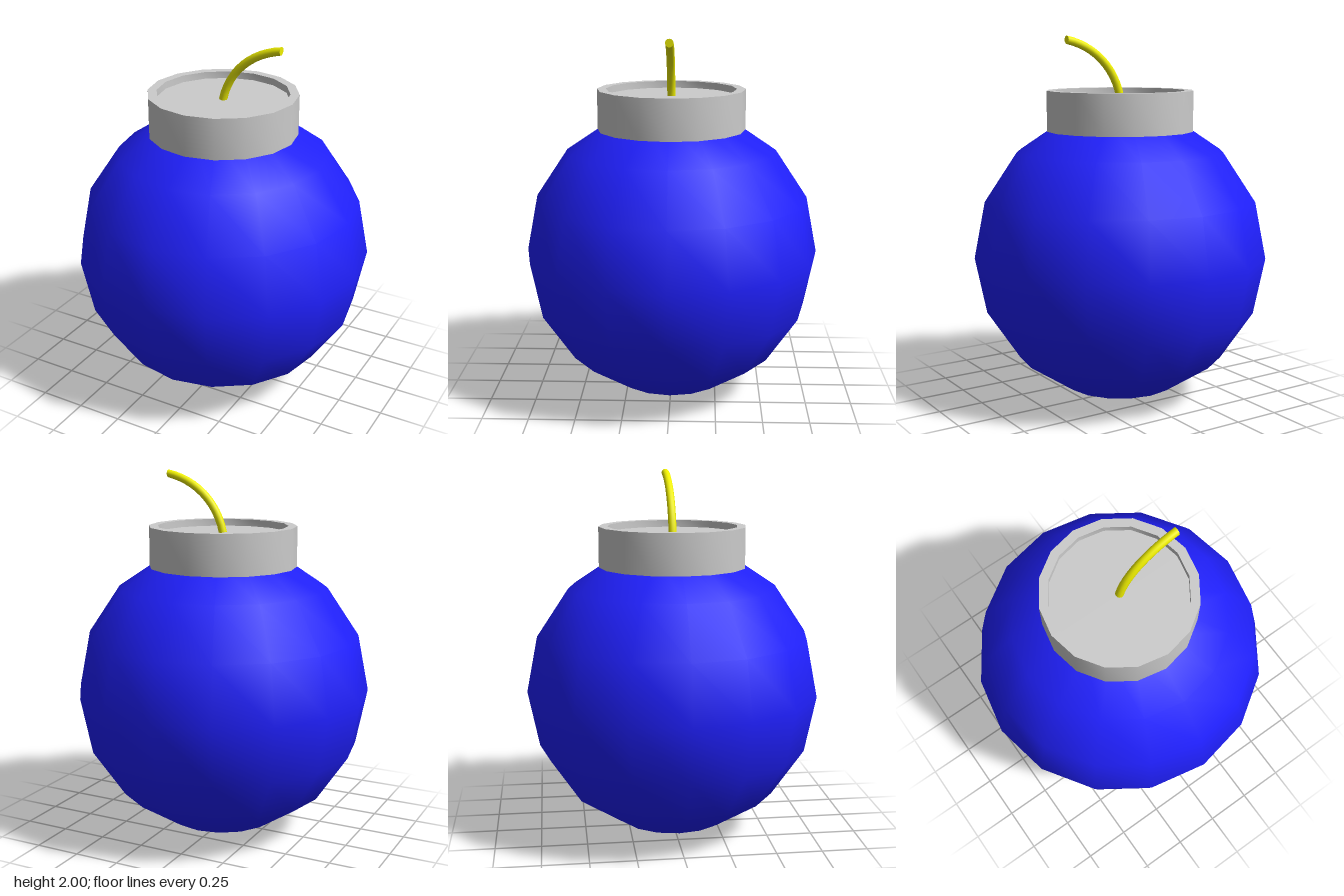
import * as THREE from 'three';
import { toCreasedNormals } from 'three/addons/utils/BufferGeometryUtils.js';

const SIDES = 16;

function addPart(group, name, geometry, color) {
  const mesh = new THREE.Mesh(geometry, new THREE.MeshStandardMaterial({ color }));
  mesh.name = name;
  group.add(mesh);
  return mesh;
}

export function createModel() {
  const model = new THREE.Group();
  model.name = 'roundBomb';

  // Body: smooth-shaded low-poly ball standing on the ground
  const R = 0.806;
  addPart(model, 'body', new THREE.SphereGeometry(R, SIDES, SIDES / 2), 0x2020ff).position.y = R;

  // Collar: ring with a raised rim around a shallow recessed floor
  const floorY = 1.67;
  const profile = [[0.402, 1.487], [0.402, 1.708], [0.354, 1.708], [0.354, floorY], [0, floorY]]
    .map(([x, y]) => new THREE.Vector2(x, y));
  addPart(model, 'collar', toCreasedNormals(new THREE.LatheGeometry(profile, SIDES), Math.PI / 5), 0xcccccc);

  // Fuse: tube rising from the collar and bending towards +x
  const fuseRadius = 0.022;
  const tip = new THREE.Vector3(0.333, 1.977, 0);
  const path = new THREE.CubicBezierCurve3(
    new THREE.Vector3(0, floorY, 0),
    new THREE.Vector3(0.03, 1.81, 0),
    new THREE.Vector3(0.14, 1.94, 0),
    tip
  );
  const fuse = new THREE.Group();
  fuse.name = 'fuse';
  const segments = 12, radial = 12;
  const tube = new THREE.TubeGeometry(path, segments, fuseRadius, radial);
  // Cut the last ring square so that the end is upright
  const pos = tube.attributes.position;
  for (let i = segments * (radial + 1); i < pos.count; i++) pos.setX(i, tip.x);
  addPart(fuse, 'fuseCord', tube, 0xf0f000);

  // Flat end of the fuse
  const end = addPart(fuse, 'fuseEnd', new THREE.CircleGeometry(fuseRadius, radial), 0xf0f000);
  end.position.copy(tip);
  end.rotation.y = Math.PI / 2;
  model.add(fuse);

  return model;
}
